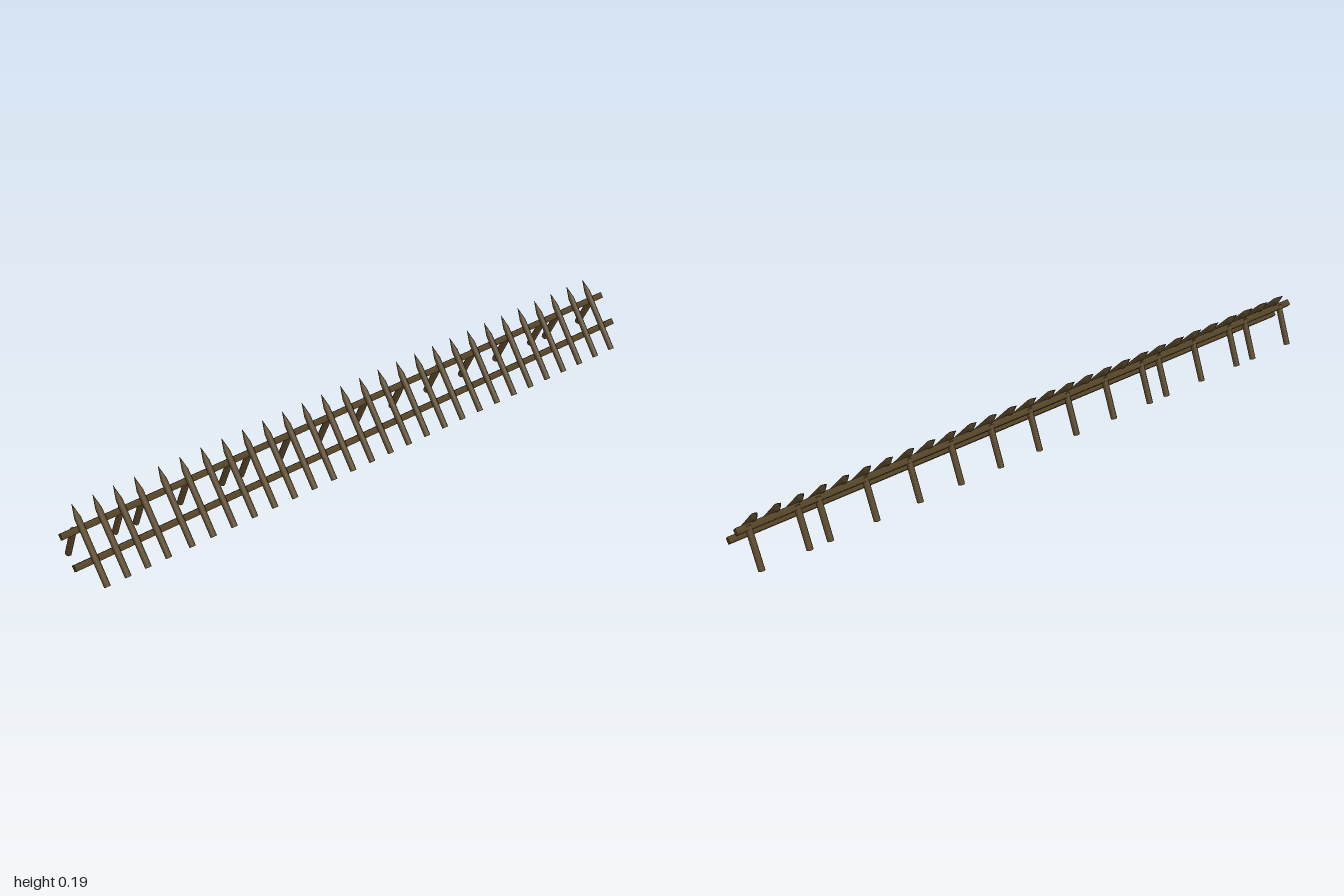
import * as THREE from 'three';

export function createModel() {
  const group = new THREE.Group();
  const wood = new THREE.MeshStandardMaterial({ color: 0x5a482a });
  wood.name = 'dark wood';

  const up = new THREE.Vector3(0, 1, 0);
  const foot = new THREE.Vector3(0, 0.0075, 0.0905); // base of the slanted stakes
  const tip = new THREE.Vector3(0, 0.194, -0.068);
  const along = tip.clone().sub(foot).normalize();
  const behind = new THREE.Vector3(0, along.z, -along.y); // underside of the slope
  const length = tip.distanceTo(foot);

  const place = (name, geometry, x, origin, direction) => {
    const mesh = new THREE.Mesh(geometry, wood);
    mesh.name = name;
    mesh.position.copy(origin);
    mesh.position.x = x;
    mesh.quaternion.setFromUnitVectors(up, direction);
    group.add(mesh);
  };

  // Post with flat bottom at the origin, slightly narrower in x; creased between side, point and ends
  const post = (radius, height, point = 0) => {
    const r = radius, s = height - point;
    const profile = [[0, 0], [r, 0], [r, 0], [r, s], [r, s], [point ? 0.0005 : 0, height]];
    if (point) profile.push([0, height]);
    return new THREE.LatheGeometry(profile.map(p => new THREE.Vector2(...p)), 8, Math.PI / 8)
      .scale(0.92, 1, 1);
  };

  // Sharpened stakes, slightly tighter at one end
  const stakeGeometry = post(0.0103, length, 0.041);
  const stakeX = [-0.94, -0.875, -0.811, -0.745];
  for (let i = 0; i < 24; i++) stakeX.push(-0.668 + i * 0.0701);
  stakeX.forEach(x => place('stake', stakeGeometry, x, foot, along));

  // Two square rails with softened shading, fixed to the underside of the stakes
  const railGeometry = new THREE.CylinderGeometry(0.0134, 0.0134, 2, 4, 1, false, Math.PI / 4)
    .rotateZ(Math.PI / 2);
  for (const [name, s] of [['lowerRail', 0.081], ['upperRail', 0.174]]) {
    const centre = foot.clone().addScaledVector(along, s).addScaledVector(behind, 0.016);
    place(name, railGeometry, 0, centre, along);
  }

  // Rear support legs
  const legTop = new THREE.Vector3(0, 0.136, -0.033);
  const legFoot = new THREE.Vector3(0, 0.0135, -0.0885);
  const legGeometry = post(0.0106, legTop.distanceTo(legFoot));
  const legDirection = legTop.clone().sub(legFoot).normalize();
  const legX = [-0.961, -0.812, -0.744, -0.597, -0.454, -0.387, -0.246, -0.103,
    0.034, 0.174, 0.313, 0.454, 0.598, 0.748, 0.813, 0.962];
  legX.forEach(x => place('supportLeg', legGeometry, x, legFoot, legDirection));

  return group;
}
